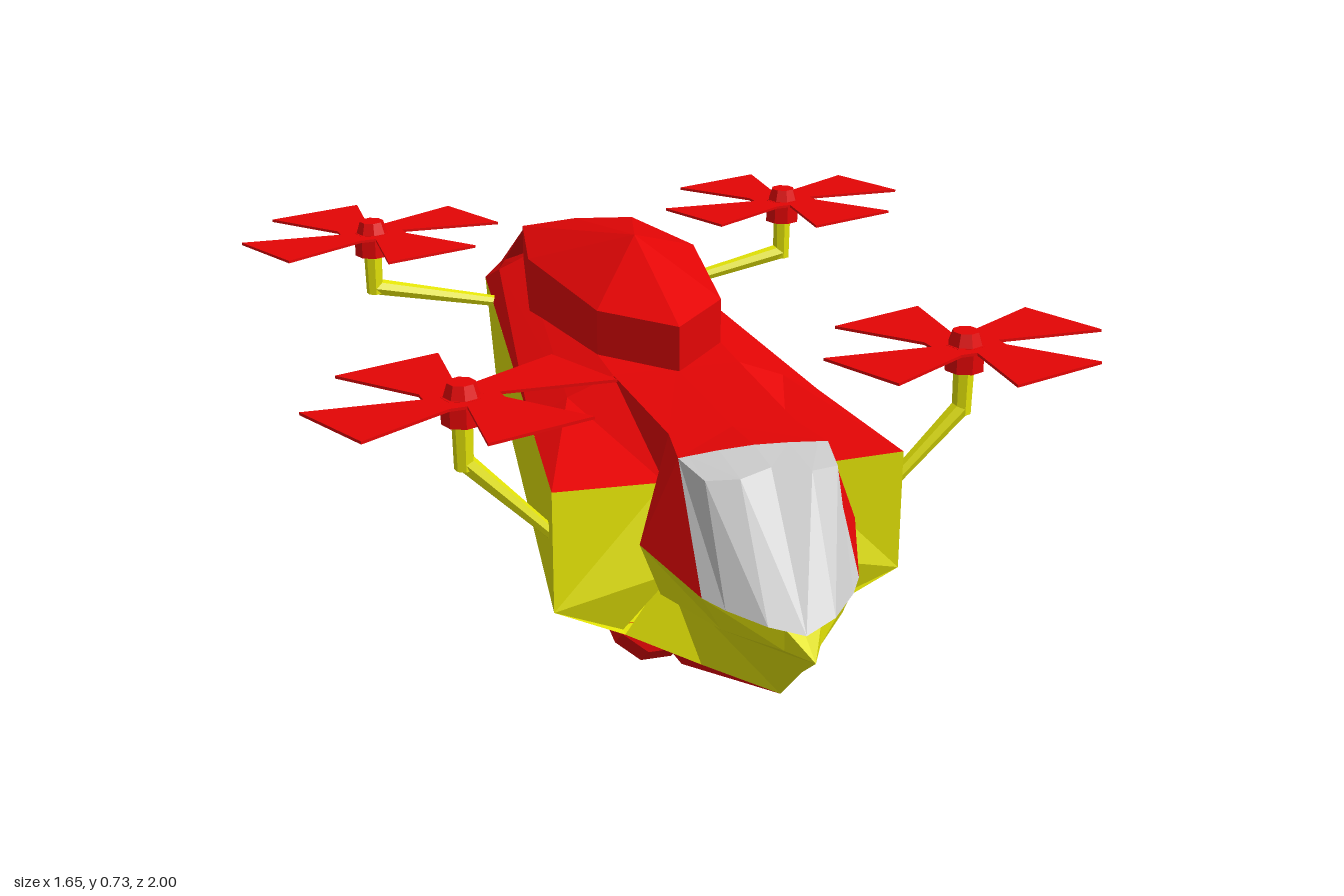
import * as THREE from 'three';

const paint = (color) => new THREE.MeshStandardMaterial({ color, flatShading: true, side: THREE.DoubleSide });

// Faceted panel: half cross-sections joined row to row, mirrored across x.
function skin(rows) {
  const pos = [];
  const tri = (a, b, c) => {
    const [A, B, C] = [a, b, c].map((p) => new THREE.Vector3(...p));
    if (B.clone().sub(A).cross(C.clone().sub(A)).length() < 1e-7) return;
    pos.push(...a, ...b, ...c);
    for (const [x, y, z] of [a, c, b]) pos.push(-x, y, z);
  };
  for (let r = 0; r < rows.length - 1; r++) {
    for (let i = 0; i < rows[r].length - 1; i++) {
      const a = rows[r][i], b = rows[r][i + 1], c = rows[r + 1][i + 1], d = rows[r + 1][i];
      tri(a, d, b);
      tri(b, d, c);
    }
  }
  const g = new THREE.BufferGeometry();
  g.setAttribute('position', new THREE.Float32BufferAttribute(pos, 3));
  g.computeVertexNormals();
  return g;
}

// Tapered strut between two points in the xy plane
function strut([ax, ay], [bx, by], ra, rb) {
  const dir = new THREE.Vector3(ax - bx, ay - by, 0);
  const g = new THREE.CylinderGeometry(ra, rb, dir.length(), 7);
  g.applyQuaternion(new THREE.Quaternion().setFromUnitVectors(new THREE.Vector3(0, 1, 0), dir.normalize()));
  return g.translate((ax + bx) / 2, (ay + by) / 2, 0);
}

export function createModel() {
  const model = new THREE.Group();
  model.name = 'aircraft';
  const red = paint(0xe40505), yellow = paint(0xe2e206), glass = paint(0xcccccc);
  const add = (name, geometry, material, parent = model) => {
    const mesh = new THREE.Mesh(geometry, material);
    mesh.name = name;
    parent.add(mesh);
    return mesh;
  };

  // Yellow hull: sides, chamfer and floor
  add('hull', skin([
    [[0.365, 0.45, 0.51], [0.365, 0.19, 0.51], [0.22, 0.12, 0.51], [0, 0.12, 0.51]],
    [[0.21, 0.44, -0.87], [0.225, 0.24, -0.7], [0.13, 0.2, -0.79], [0, 0.2, -0.79]],
  ]), yellow);
  add('hullFront', skin([
    [[0.365, 0.45, 0.51], [0.365, 0.19, 0.51], [0.22, 0.12, 0.49]],
    [[0.13, 0.43, 0.48], [0.12, 0.25, 0.52], [0.12, 0.25, 0.52]],
  ]), yellow);
  add('hullRear', skin([
    [[0.21, 0.44, -0.87], [0.15, 0.38, -0.95], [0, 0.37, -0.985]],
    [[0.225, 0.24, -0.7], [0.13, 0.2, -0.79], [0, 0.2, -0.79]],
  ]), yellow);

  // Nose: overhanging chin running down into a wedge-shaped bow
  const tip = [0, 0.28, 1];
  add('nose', skin([
    [tip, tip, tip, tip, tip, tip],
    [[0, 0.31, 0.94], [0.035, 0.32, 0.93], [0.035, 0.275, 0.93], [0.015, 0.26, 0.93], [0, 0.225, 0.93], [0, 0.225, 0.93]],
    [[0, 0.34, 0.8], [0.155, 0.34, 0.81], [0.12, 0.275, 0.82], [0.06, 0.25, 0.82], [0, 0.12, 0.82], [0, 0.12, 0.82]],
    [[0, 0.37, 0.62], [0.22, 0.37, 0.62], [0.19, 0.28, 0.66], [0.12, 0.245, 0.67], [0.11, 0.12, 0.67], [0, 0.12, 0.67]],
    [[0, 0.42, 0.5], [0.13, 0.42, 0.5], [0.15, 0.31, 0.5], [0.13, 0.24, 0.5], [0.22, 0.12, 0.51], [0, 0.12, 0.51]],
  ]), yellow);

  // Cockpit cheeks and windshield
  add('cockpitSides', skin([
    [[0.15, 0.55, 0.64], [0.15, 0.55, 0.64], [0.13, 0.545, 0.51]],
    [[0.155, 0.34, 0.81], [0.22, 0.37, 0.62], [0.13, 0.42, 0.5]],
  ]), red);
  add('windshield', skin([
    [[0, 0.56, 0.64], [0.07, 0.557, 0.64], [0.13, 0.552, 0.64], [0.15, 0.55, 0.64]],
    [[0, 0.555, 0.74], [0.07, 0.552, 0.77], [0.13, 0.545, 0.745], [0.15, 0.55, 0.64]],
    [[0, 0.31, 0.95], [0.065, 0.325, 0.925], [0.125, 0.335, 0.86], [0.155, 0.34, 0.81]],
  ]), glass);

  // Red deck: flat spine and sloping shoulders
  add('deckSpine', skin([
    [[0, 0.56, 0.64], [0.15, 0.55, 0.64]],
    [[0, 0.547, 0.51], [0.13, 0.545, 0.51]],
    [[0, 0.53, 0.13], [0.14, 0.53, 0.13]],
    [[0, 0.53, -0.73], [0.14, 0.53, -0.73]],
  ]), red);
  add('deckShoulders', skin([
    [[0.13, 0.545, 0.51], [0.13, 0.43, 0.48], [0.365, 0.45, 0.51]],
    [[0.14, 0.53, 0.13], [0.24, 0.49, 0.13], [0.3223, 0.4472, 0.13]],
    [[0.14, 0.53, -0.73], [0.2, 0.5, -0.74], [0.21, 0.44, -0.87]],
  ]), red);
  add('tail', skin([
    [[0, 0.61, -0.76], [0.14, 0.6, -0.73], [0.2, 0.5, -0.74]],
    [[0, 0.48, -0.985], [0.155, 0.46, -0.93], [0.21, 0.44, -0.87]],
    [[0, 0.41, -1], [0.155, 0.41, -0.945], [0.21, 0.44, -0.87]],
    [[0, 0.37, -0.985], [0.15, 0.38, -0.95], [0.21, 0.44, -0.87]],
  ]), red);

  // Raised roof: upright walls and a fan to its peak
  const plan = [[0, 0.15], [0.14, 0], [0.2, -0.4], [0.14, -0.73], [0, -0.76]];
  add('roof', skin([
    plan.map(([x, z]) => [x, 0.5, z]),
    plan.map(([x, z]) => [x, z < -0.7 ? 0.61 : 0.63, z]),
    plan.map(() => [0, 0.73, -0.2]),
  ]), red);

  // Shallow keel, its rim meeting the hull floor
  const floorAt = (z) => 0.12 + Math.max(0, 0.51 - z) * 0.0615;
  const keel = [[0.82, 0.12, 0], [0.57, 0.07, 0.15], [0.3, 0.07, 0.18], [-0.45, 0.14, 0.14], [-0.79, 0.2, 0.1]];
  add('keel', skin(keel.map(([z, y, w]) => [[0, y, z], [w * 0.8, y, z], [w, floorAt(z), z]])), red);

  // Two skids, tapering to the rear: z, underside height, width scale
  const runner = [[0.47, 0.05, 1], [0.41, 0, 1], [-0.27, 0, 0.82], [-0.45, 0.06, 0.76], [-0.79, 0.2, 0.6]];
  const skidRows = runner.map(([z, y, s]) => {
    const top = floorAt(z) + 0.003;
    return [[0.095, top], [0.095, y], [0.16, y], [0.215, Math.min(top, y + 0.05)], [0.215, top]].map(([x, h]) => [x * s, h, z]);
  });
  add('skids', skin(skidRows), red);
  add('skidFronts', skin([skidRows[0], skidRows[0].map(() => [0.15, 0.12, 0.47])]), red);

  // Four-bladed pinwheel outline, wider across x than along z
  const outline = [];
  for (let k = 0; k < 4; k++) {
    for (const [r, deg] of [[0.24, 0], [1, 0], [1, 45], [0.28, 65]]) {
      const a = THREE.MathUtils.degToRad(deg + 90 * k);
      outline.push(new THREE.Vector2(0.307 * r * Math.cos(a), 0.245 * r * Math.sin(a)));
    }
  }
  const bladeGeo = new THREE.ExtrudeGeometry(new THREE.Shape(outline), { depth: 0.006, bevelEnabled: false });
  bladeGeo.rotateX(-Math.PI / 2);
  const hubGeo = new THREE.CylinderGeometry(0.042, 0.042, 0.055, 8);
  const capGeo = new THREE.CylinderGeometry(0.028, 0.037, 0.028, 8);

  // Rotors on bent arms, front and rear, both sides
  for (const side of [-1, 1]) {
    for (const [place, z, endX, endY] of [['front', 0.44, 0.34, 0.32], ['rear', -0.675, 0.2, 0.435]]) {
      const rotor = new THREE.Group();
      rotor.name = `${place}${side > 0 ? 'Left' : 'Right'}Rotor`;
      rotor.position.set(side * 0.52, 0, z);
      model.add(rotor);
      add('blades', bladeGeo, red, rotor).position.y = 0.636;
      add('hub', hubGeo, red, rotor).position.y = 0.615;
      add('cap', capGeo, red, rotor).position.y = 0.656;
      add('armPost', strut([0, 0.6], [0, 0.49], 0.022, 0.02), yellow, rotor);
      add('armBrace', strut([0, 0.505], [side * (endX - 0.52), endY], 0.02, 0.013), yellow, rotor);
    }
  }
  return model;
}
